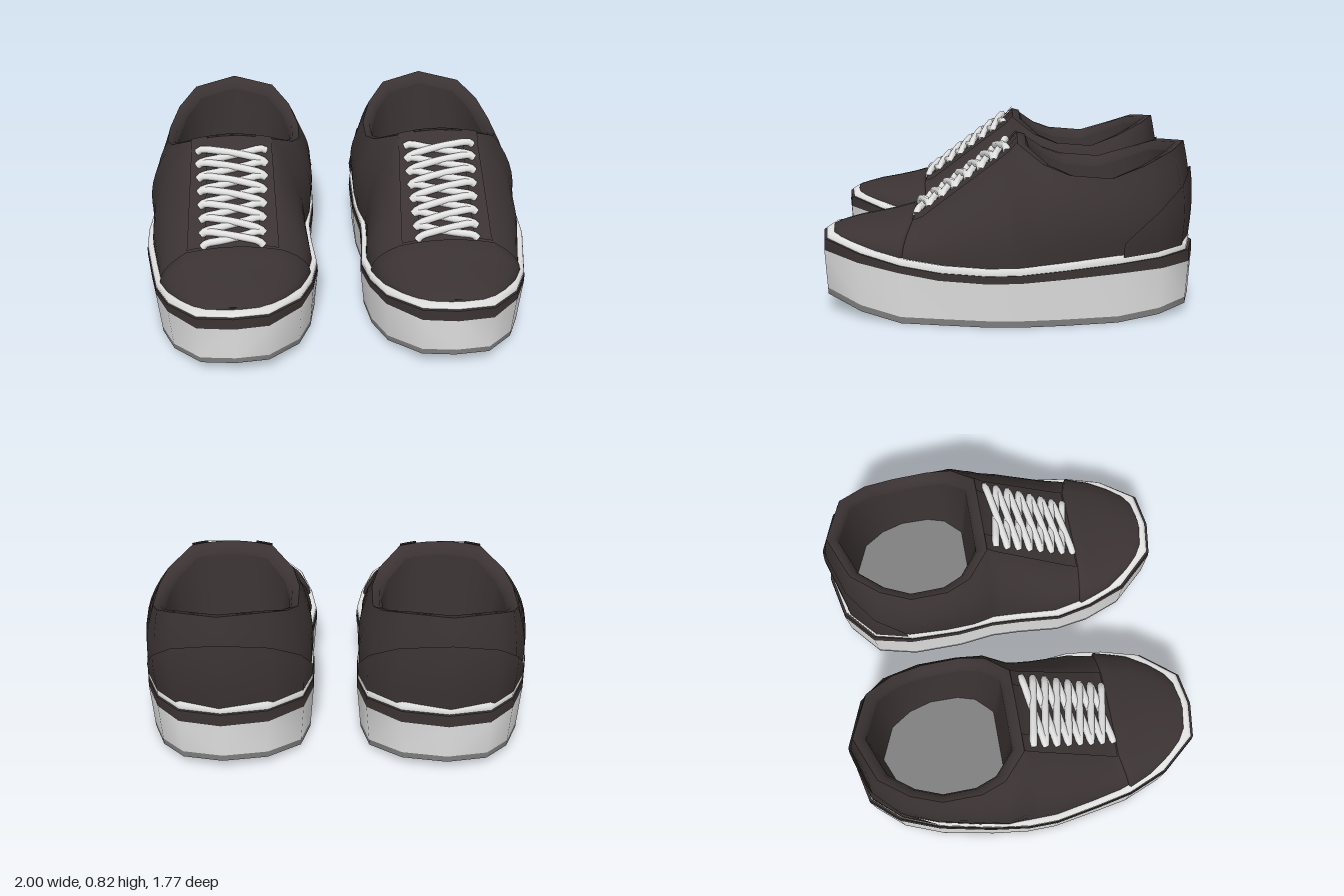
import * as THREE from 'three';
import { mergeGeometries, mergeVertices } from 'three/addons/utils/BufferGeometryUtils.js';

const mat = (name, color) => {
  const m = new THREE.MeshStandardMaterial({ color, side: THREE.DoubleSide });
  m.name = name;
  return m;
};

// Linear lookup in a table of [z, value, ...], z falling
const look = (table, z, k = 1) => {
  for (let i = 1; i < table.length; i++) {
    const a = table[i - 1], b = table[i];
    if (z >= b[0]) return THREE.MathUtils.lerp(a[k], b[k], Math.min(1, (a[0] - z) / (a[0] - b[0])));
  }
  return table[table.length - 1][k];
};

// Sole plan: z, inner x, outer x
const PLAN = [[0.887, 0.525, 0.525], [0.862, 0.36, 0.70], [0.69, 0.205, 0.845], [0.5, 0.14, 0.92],
  [0.32, 0.11, 0.955], [0.10, 0.13, 0.995], [-0.05, 0.135, 0.998], [-0.24, 0.11, 0.975],
  [-0.5, 0.107, 0.925], [-0.7, 0.15, 0.85], [-0.84, 0.31, 0.73], [-0.887, 0.53, 0.53]];
// Heights along the shoe
const GROUND = [[0.89, 0.09], [0.8, 0.065], [0.65, 0.025], [0.5, 0], [-0.5, 0], [-0.7, 0.018], [-0.89, 0.045]];
const MID = [[0.89, 0.30], [0.54, 0.245], [0.27, 0.205], [0, 0.205], [-0.5, 0.235], [-0.89, 0.245]];
const WELT = [[0.89, 0.357], [0.54, 0.277], [0.27, 0.24], [0, 0.24], [-0.5, 0.278], [-0.89, 0.303]];
const RAND = [[0.89, 0.378], [0.54, 0.305], [0.27, 0.274], [0, 0.272], [-0.5, 0.314], [-0.89, 0.338]];
const RIDGE = [[0.842, 0.367], [0.78, 0.388], [0.7, 0.408], [0.55, 0.432], [0.45, 0.46], [0.4, 0.48],
  [0.2, 0.628], [0, 0.775], [-0.04, 0.822]];
// Collar: base z, half width, z, y
const COLLAR = [[-0.15, 0.315, -0.15, 0.72], [-0.30, 0.35, -0.27, 0.675], [-0.5, 0.35, -0.46, 0.66],
  [-0.67, 0.305, -0.61, 0.71], [-0.79, 0.215, -0.745, 0.765], [-0.855, 0, -0.835, 0.785]];
const CX = 0.53, CROWN = 0.12;

function makeShoe(m) {
  const shoe = new THREE.Group();
  shoe.name = m > 0 ? 'leftShoe' : 'rightShoe';

  // Skin over rows of points; m mirrors the shoe
  const skin = (rows, wrap = false) => {
    const n = rows[0].length, idx = [];
    for (let i = 0; i + 1 < rows.length; i++) {
      for (let j = 0; j < (wrap ? n : n - 1); j++) {
        const k = (j + 1) % n, a = i * n + j, b = i * n + k, c = a + n, d = b + n;
        if (m > 0) idx.push(a, b, c, b, d, c);
        else idx.push(a, c, b, b, c, d);
      }
    }
    const g = new THREE.BufferGeometry();
    g.setAttribute('position', new THREE.Float32BufferAttribute(rows.flat().flatMap(p => [p[0] * m, p[1], p[2]]), 3));
    g.setIndex(idx);
    g.computeVertexNormals();
    return g;
  };
  const add = (name, geo, material) => {
    const mesh = new THREE.Mesh(geo, material);
    mesh.name = name;
    shoe.add(mesh);
  };
  const weld = parts => {
    parts.forEach(g => g.deleteAttribute('normal'));
    const g = mergeVertices(mergeGeometries(parts), 1e-4);
    g.computeVertexNormals();
    return g;
  };

  // Sole: bands between scaled copies of the plan
  const edge = (k, sx, y, sz = sx) => PLAN.map(p => [CX + (p[k] - CX) * sx, y(p[0]), p[0] * sz]);
  const ring = (sx, y, sz) => [...edge(2, sx, y, sz), ...edge(1, sx, y, sz).slice(1, -1).reverse()];
  const ground = z => look(GROUND, z), mid = z => look(MID, z), welt = z => look(WELT, z), rand = z => look(RAND, z);
  const tread = z => ground(z) + 0.03;
  add('outsoleBottom', skin([edge(1, 0.955, ground, 0.985), edge(2, 0.955, ground, 0.985)]), grey);
  add('outsoleEdge', skin([ring(0.955, ground, 0.985), ring(0.96, tread, 0.987)], true), grey);
  add('midsole', skin([ring(0.96, tread, 0.987), ring(1, mid)], true), white);
  add('welt', skin([ring(1, mid), ring(0.998, welt)], true), dark);
  add('weltTop', skin([ring(0.998, welt), ring(0.96, welt)], true), dark);
  add('rand', skin([ring(0.99, welt, 0.982), ring(0.992, z => rand(z) - 0.012, 0.984), ring(0.97, rand, 0.965),
    ring(0.9, z => rand(z) - 0.008)], true), white);
  add('insole', skin([edge(2, 0.88, () => 0.29), edge(1, 0.88, () => 0.29)]), grey);

  // Upper: wall columns from base b to top edge c
  const base = (z, side) => {
    const s = z < -0.1 ? 0.965 : 0.93;
    return [CX + (look(PLAN, z / s, side > 0 ? 2 : 1) - CX) * s, rand(z) - 0.02, z];
  };
  const frontCol = (z, side, off = 0, zBase = z) => {
    const b = base(zBase, side);
    const half = Math.min(0.205 + 0.05 * Math.max(0, z), 0.62 * Math.abs(b[0] - CX));
    return { b, c: [CX + side * half, look(RIDGE, z) - CROWN * half, z], bulge: 0, off };
  };
  const rearCol = (r, side, off = 0) => ({
    b: base(r[0], side), c: [CX + side * r[1], r[3], r[2]], bulge: side < 0 && r[0] < -0.55 ? 0.004 : 0.018, off,
  });
  const at = (col, s) => {
    const { b, c, bulge, off } = col, f = s ** 2.4;
    const dx = b[0] - CX, dz = b[2] - THREE.MathUtils.clamp(b[2], -0.4, 0.3), l = Math.hypot(dx, dz) || 1;
    const push = bulge * Math.sin(Math.PI * s) + off;
    return [b[0] + (c[0] - b[0]) * f + dx / l * push, b[1] + (c[1] - b[1]) * s + (bulge ? 0 : off),
      b[2] + (c[2] - b[2]) * f + dz / l * push];
  };
  const wall = (cols, wrap, top = () => 1) => skin(Array.from({ length: 9 }, (_, i) =>
    cols.map(c => at(c, i / 8 * top(c)))), wrap);
  // Gently crowned panel over the instep, between t0 and t1 across
  const panel = (outer, inner, t0 = 1, t1 = -1, lift = 0) => skin(Array.from({ length: 7 }, (_, i) => {
    const t = t0 + (t1 - t0) * i / 6;
    return outer.map((o, j) => {
      const p = at(o, 1), q = at(inner[j], 1), w = (t + 1) / 2;
      const crown = CROWN * Math.abs(o.c[0] - CX) * (1 - t * t);
      return [q[0] + (p[0] - q[0]) * w, q[1] + (p[1] - q[1]) * w + crown + lift, q[2] + (p[2] - q[2]) * w];
    });
  }));
  const FRONT = [0.82, 0.805, 0.77, 0.7, 0.6, 0.5, 0.44, 0.4, 0.3, 0.2, 0.1, 0, -0.04];
  const outer = FRONT.map(z => frontCol(z, 1)), inner = FRONT.map(z => frontCol(z, -1));
  const rear = (rows, off) => [...rows.map(r => rearCol(r, 1, off)), ...rows.slice(0, -1).reverse().map(r => rearCol(r, -1, off))];
  const back = rear(COLLAR, 0);
  add('upper', weld([wall([...outer, ...back, ...inner.slice().reverse()], true), panel(outer, inner)]), dark);

  // Toe cap laid over the front, its seam slanting forward down the outer side
  const CAP = [0.82, 0.805, 0.77, 0.7, 0.6, 0.52, 0.45, 0.445];
  const capCols = side => CAP.map((z, i) =>
    frontCol(z, side, i < CAP.length - 1 ? 0.013 : -0.004, z < 0.5 ? z + (side > 0 ? 0.04 : -0.01) : z));
  const capO = capCols(1), capI = capCols(-1);
  add('toeCap', weld([wall([...capI.slice().reverse(), ...capO], false), panel(capO, capI)]), dark);

  // Heel counter, rising to the back
  const counter = rear([[-0.51, 0.35, -0.47, 0.66], ...COLLAR.slice(3)], 0.012);
  add('heelCounter', wall(counter, false, c => {
    const y = THREE.MathUtils.mapLinear(c.b[2], -0.51, -0.855, 0.37, 0.66);
    return (y - c.b[1]) / (c.c[1] - c.b[1]);
  }), dark);

  // Eyestays beside the laces
  for (const t of [[1, 0.6], [-0.6, -1]]) add('eyestay', panel(outer.slice(6), inner.slice(6), t[0], t[1], 0.01), dark);

  // Padded collar and lining
  const last = FRONT.length - 1, edgeO = at(outer[last], 1), edgeI = at(inner[last], 1);
  const tongue = [-0.6, -0.2, 0.2, 0.6].map(t =>
    [CX + (edgeO[0] - CX) * t, edgeO[1] + CROWN * (edgeO[0] - CX) * (1 - t * t), edgeO[2]]);
  const loop = [edgeO, ...back.map(c => at(c, 1)), edgeI, ...tongue];
  const inset = (s, y) => loop.map(p => [CX + (p[0] - CX) * s, y(p[1]), -0.425 + (p[2] + 0.425) * s]);
  const lip = inset(0.86, y => y - 0.05);
  add('collar', skin([loop, inset(0.9, y => y - 0.008), lip], true), dark);
  add('lining', skin([lip, inset(0.82, y => y * 0.5 + 0.14), inset(0.76, () => 0.288)], true), dark);

  // Criss-cross laces, meeting at the eyelets
  for (let i = 0; i < 7; i++) {
    const z0 = 0.43 - 0.06 * i, hw = 0.15 + 0.004 * i;
    for (const s of [-1, 1]) {
      const pts = [-1, -0.88, -0.4, 0, 0.4, 0.88, 1].map(t => {
        const z = z0 - 0.06 * (t + 1) / 2;
        const lift = Math.abs(t) === 1 ? -0.01 : 0.006 + (s > 0 ? 0.016 * (1 - t * t) : 0);
        return new THREE.Vector3(m * (CX + s * t * hw), look(RIDGE, z) + lift, z);
      });
      add('lace', new THREE.TubeGeometry(new THREE.CatmullRomCurve3(pts), 14, 0.019, 7), white);
    }
  }
  return shoe;
}

const dark = mat('dark brown canvas', 0x3b3333);
const white = mat('off-white rubber', 0xe2e2e2);
const grey = mat('grey rubber', 0x808080);

export function createModel() {
  const group = new THREE.Group();
  group.name = 'pairOfShoes';
  group.add(makeShoe(1), makeShoe(-1));
  return group;
}
